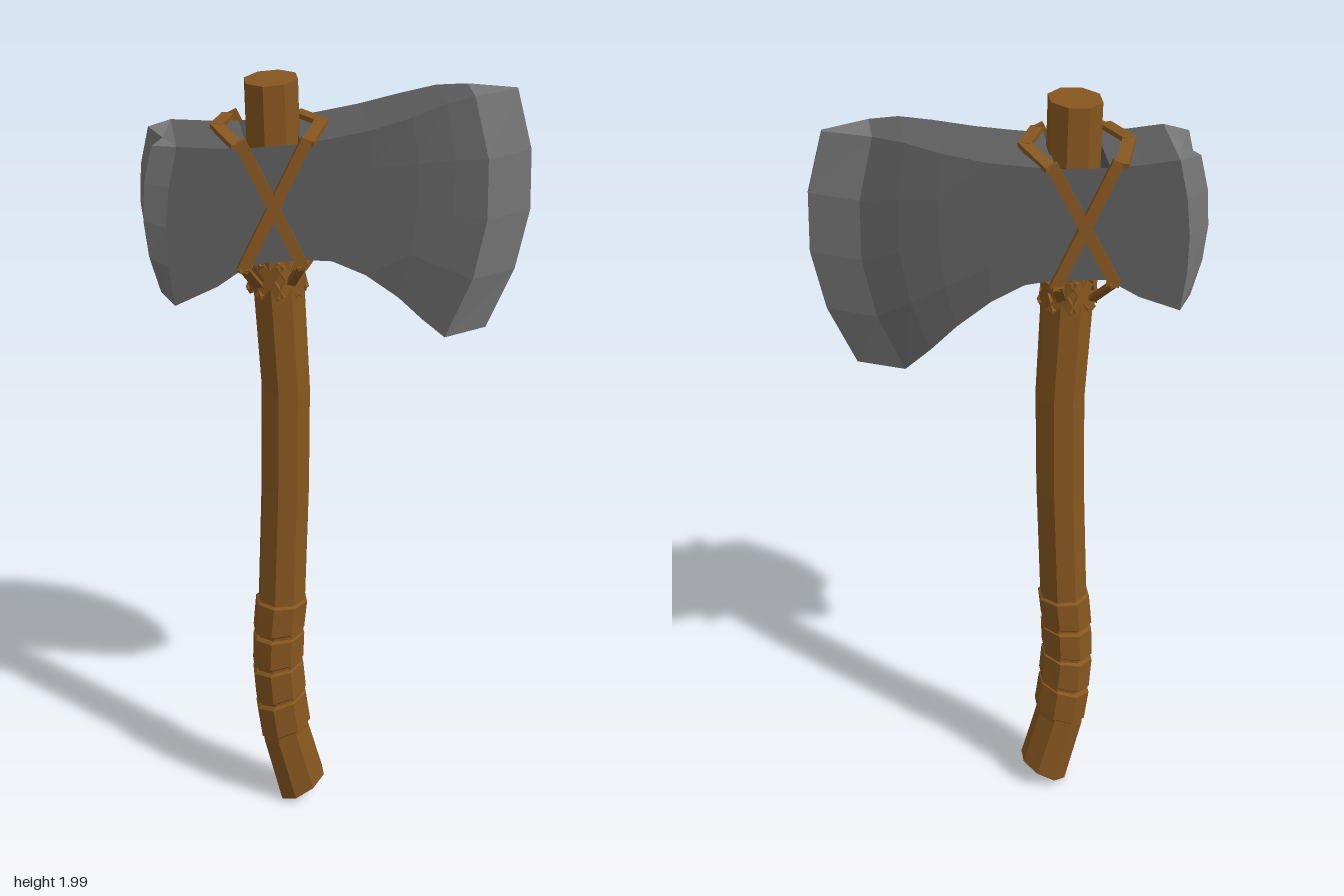
import * as THREE from 'three';

const wood = new THREE.MeshStandardMaterial({ color: 0x87571f });
wood.name = 'brown wood and leather';
const stone = new THREE.MeshStandardMaterial({ color: 0x5c5c5c, side: THREE.DoubleSide });
stone.name = 'dark stone';
const bevel = new THREE.MeshStandardMaterial({ color: 0x777777, side: THREE.DoubleSide });
bevel.name = 'ground stone';
for (const m of [wood, stone, bevel]) m.flatShading = true;

const V = (x, y, z) => new THREE.Vector3(x, y, z);

// Mesh from a list of corner points, three per triangle
function facets(name, points, material) {
  const g = new THREE.BufferGeometry().setFromPoints(points);
  g.computeVertexNormals();
  const mesh = new THREE.Mesh(g, material);
  mesh.name = name;
  return mesh;
}
const quad = (out, a, b, c, d) => out.push(a, b, c, a, c, d);

// Octagonal tube through sloping rings [x, y, slope, radius], closed at both ends
function tube(name, rings) {
  const n = 8, out = [];
  const loops = rings.map(([x, y, slope, r]) => Array.from({ length: n }, (_, i) => {
    const a = (i + 0.5) * Math.PI * 2 / n, c = r * Math.cos(a) / Math.cos(Math.PI / n);
    return V(x + c, y + slope * c, r * Math.sin(a) / Math.cos(Math.PI / n));
  }));
  const mid = rings.map(([x, y]) => V(x, y, 0)), last = loops.length - 1;
  for (let i = 0; i < n; i++) {
    const j = (i + 1) % n;
    for (let k = 0; k < last; k++) quad(out, loops[k][i], loops[k + 1][i], loops[k + 1][j], loops[k][j]);
    out.push(mid[0], loops[0][i], loops[0][j], mid[last], loops[last][j], loops[last][i]);
  }
  return facets(name, out, wood);
}

// Flat strip from a to b whose broad face looks along n
function strap(name, a, b, n, width = 0.028, thick = 0.012) {
  const x = b.clone().sub(a), len = x.length();
  x.normalize();
  const y = n.clone().cross(x).normalize(), z = x.clone().cross(y);
  const mesh = new THREE.Mesh(new THREE.BoxGeometry(len + thick, width, thick), wood);
  mesh.quaternion.setFromRotationMatrix(new THREE.Matrix4().makeBasis(x, y, z));
  mesh.position.copy(a).add(b).multiplyScalar(0.5);
  mesh.name = name;
  return mesh;
}

function buildHead() {
  // Stations: xTop, yTop, xMiddle, xBottom, yBottom, then half thickness middle, top, bottom
  const stations = [
    [-0.44, 1.87, -0.465, -0.43, 1.51, 0.07, 0.07, 0.07],
    [-0.385, 1.875, -0.415, -0.40, 1.487, 0.102, 0.102, 0.102],
    [-0.30, 1.868, -0.30, -0.30, 1.53, 0.102, 0.102, 0.102],
    [-0.225, 1.865, -0.225, -0.225, 1.58, 0.102, 0.102, 0.102],
    [-0.10, 1.87, -0.10, -0.10, 1.587, 0.102, 0.102, 0.102],
    [-0.03, 1.88, -0.03, -0.03, 1.58, 0.102, 0.102, 0.102],
    [0.06, 1.895, 0.06, 0.05, 1.54, 0.102, 0.102, 0.10],
    [0.16, 1.92, 0.17, 0.13, 1.475, 0.10, 0.094, 0.09],
    [0.24, 1.942, 0.26, 0.19, 1.41, 0.086, 0.075, 0.075],
    [0.31, 1.95, 0.345, 0.25, 1.35, 0.062, 0.05, 0.055],
    [0.42, 1.95, 0.46, 0.36, 1.35, 0.004, 0.004, 0.004],
  ];
  const rows = [0, 0.25, 0.5, 0.75, 1], top = rows.length - 1;
  const column = ([xt, yt, xm, xb, yb, zm, zt, zb], side) => rows.map((u, k) => V(
    xb * (1 - u) * (1 - 2 * u) + xm * 4 * u * (1 - u) + xt * u * (2 * u - 1),
    yb + (yt - yb) * u,
    side * (k === 0 ? zb : k === top ? zt : zm)));
  const F = stations.map(s => column(s, 1)), B = stations.map(s => column(s, -1));
  const body = [], ground = [], end = stations.length - 1;

  for (let j = 0; j < end; j++) {
    const out = j === 0 || j === end - 1 ? ground : body;
    for (let k = 0; k < top; k++) {
      quad(out, F[j][k], F[j + 1][k], F[j + 1][k + 1], F[j][k + 1]);
      quad(out, B[j][k + 1], B[j + 1][k + 1], B[j + 1][k], B[j][k]);
    }
    // Top and bottom, left open at the socket and notched at the poll
    if (j === 0 || j === 3) continue;
    quad(out, F[j][top], F[j + 1][top], B[j + 1][top], B[j][top]);
    quad(out, B[j][0], B[j + 1][0], F[j + 1][0], F[j][0]);
  }
  for (let k = 0; k < top; k++) {
    // Socket walls and cutting edge
    quad(body, F[3][k], B[3][k], B[3][k + 1], F[3][k + 1]);
    quad(body, B[4][k], F[4][k], F[4][k + 1], B[4][k + 1]);
    quad(ground, F[end][k], B[end][k], B[end][k + 1], F[end][k + 1]);
  }
  // Poll with a shallow groove down the middle
  const N = column([-0.41, 1.865, -0.452, -0.41, 1.515, 0, 0, 0], 1);
  for (let k = 0; k < top; k++) {
    quad(ground, N[k], F[0][k], F[0][k + 1], N[k + 1]);
    quad(ground, B[0][k], N[k], N[k + 1], B[0][k + 1]);
  }
  ground.push(F[0][top], F[1][top], N[top], N[top], F[1][top], B[1][top], N[top], B[1][top], B[0][top]);
  ground.push(N[0], F[1][0], F[0][0], B[1][0], F[1][0], N[0], B[0][0], B[1][0], N[0]);

  const head = new THREE.Group();
  head.name = 'axeHead';
  head.add(facets('headBody', body, stone), facets('groundFaces', ground, bevel));
  return head;
}

function buildLashing() {
  const g = new THREE.Group();
  g.name = 'lashing';
  const Y = V(0, 1, 0), z = 0.111;
  for (const s of [1, -1]) {
    // Crossed straps on each cheek
    const face = V(0, 0, s);
    g.add(strap('crossStrap', V(-0.24, 1.88, s * z), V(-0.10, 1.575, s * z), face));
    g.add(strap('crossStrap', V(-0.09, 1.88, s * (z + 0.002)), V(-0.24, 1.575, s * (z + 0.002)), face));
    // Straps over the top and under the head
    for (const [x0, x1] of [[-0.25, -0.285], [-0.085, -0.042]])
      g.add(strap('topStrap', V(x0, 1.876, s * z), V(x1, 1.888, 0), Y, 0.03));
    for (const [x0, x1] of [[-0.235, -0.265], [-0.105, -0.07]]) {
      g.add(strap('underStrap', V(x0, 1.573, s * z), V(x1, 1.56, 0), Y, 0.03));
      g.add(strap('tieStrap', V(x0, 1.572, s * z), V(x0 * 0.6 - 0.06, 1.51, s * 0.055), V(0, 1, -s), 0.022));
    }
  }
  // Zigzag binding around the handle under the head
  const at = (i, y) => V(-0.149 + 0.066 * Math.cos(i * Math.PI / 4), y, 0.066 * Math.sin(i * Math.PI / 4));
  for (let i = 0; i < 8; i++) {
    const a = (i + 0.5) * Math.PI / 4, out = V(Math.cos(a), 0, Math.sin(a));
    for (const [y0, y1] of [[1.48, 1.56], [1.56, 1.48]])
      g.add(strap('binding', at(i, y0), at(i + 1, y1), out, 0.022, 0.01));
  }
  return g;
}

export function createModel() {
  const model = new THREE.Group();
  model.name = 'axe';

  // Curved handle with a hollowed foot
  model.add(tube('handle', [
    [-0.115, 0.075, 0.6, 0.036], [-0.10, 0.046, 0.62, 0.046], [-0.10, 0.046, 0.62, 0.056],
    [-0.143, 0.22, 0.35, 0.057], [-0.157, 0.43, 0.15, 0.057], [-0.148, 0.63, 0, 0.057],
    [-0.136, 0.95, 0, 0.057], [-0.132, 1.22, 0, 0.057], [-0.149, 1.55, 0, 0.06],
    [-0.158, 1.996, 0.06, 0.06]]));

  // Grip wraps separated by narrow grooves
  const cuts = [[-0.143, 0.23, 0.35], [-0.154, 0.335, 0.33], [-0.16, 0.435, 0.2], [-0.157, 0.53, 0.1], [-0.149, 0.63, 0]];
  const grip = new THREE.Group();
  grip.name = 'grip';
  for (let i = 0; i < cuts.length - 1; i++) {
    const [x0, y0, s0] = cuts[i], [x1, y1, s1] = cuts[i + 1];
    grip.add(tube('gripWrap', [
      [x0, y0 + 0.004, s0, 0.057], [x0, y0 + 0.01, s0, 0.063],
      [x1, y1 - 0.01, s1, 0.063], [x1, y1 - 0.004, s1, 0.057]]));
  }
  model.add(grip, buildHead(), buildLashing());
  return model;
}
